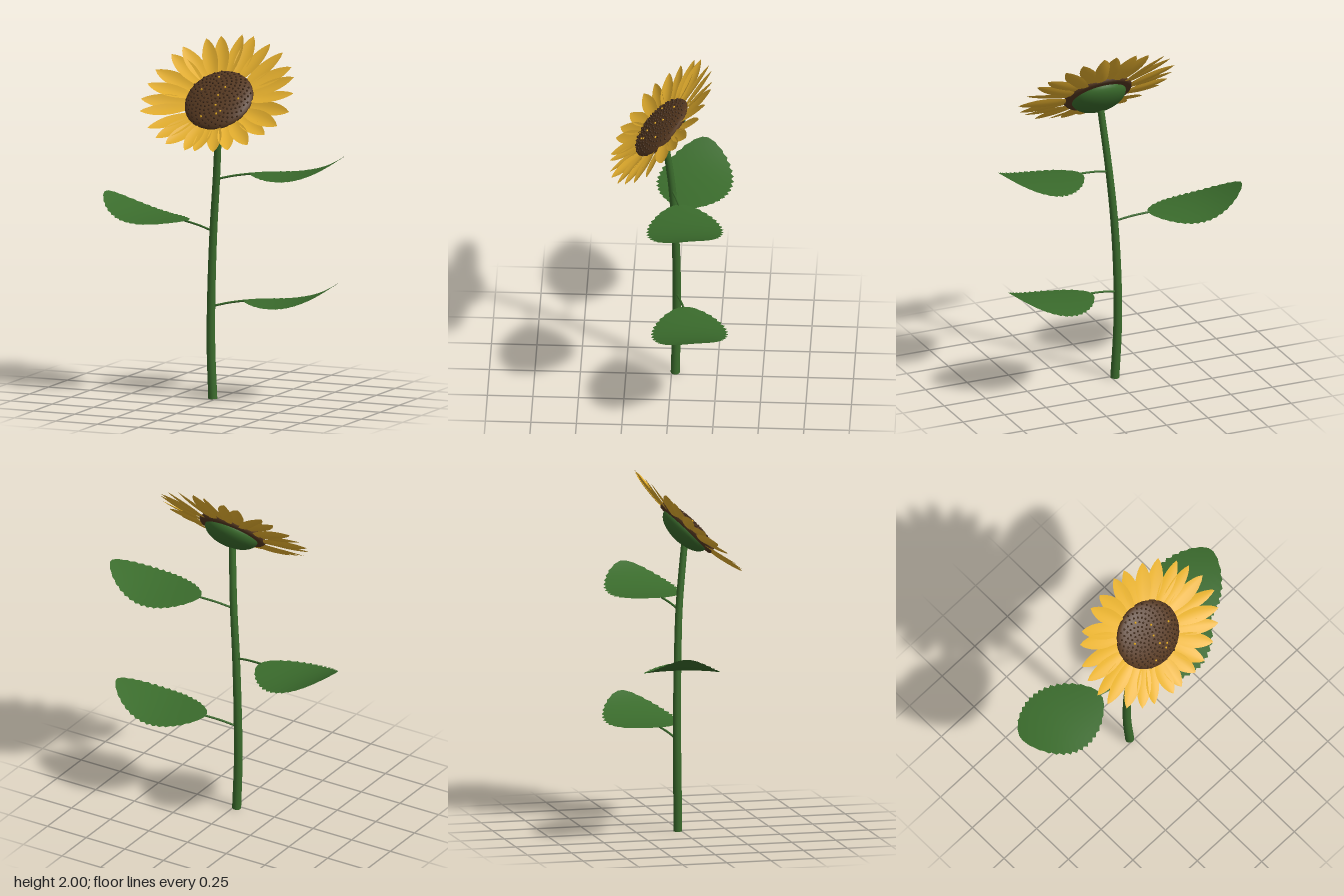
import * as THREE from 'three';
import { mergeGeometries } from 'three/addons/utils/BufferGeometryUtils.js';

const V = (x, y, z) => new THREE.Vector3(x, y, z);

// Small seeded generator for natural variation
function seeded(seed) {
  return () => (seed = (seed * 16807) % 2147483647) / 2147483647;
}

// Curved sheet: f(t, s) gives a point, t in 0..1 along, s in -1..1 across
function sheet(rows, cols, f) {
  const pos = [], idx = [];
  for (let i = 0; i <= rows; i++)
    for (let j = 0; j <= cols; j++) pos.push(...f(i / rows, (j / cols) * 2 - 1, i));
  for (let i = 0; i < rows; i++)
    for (let j = 0; j < cols; j++) {
      const a = i * (cols + 1) + j, b = a + cols + 1;
      idx.push(a, a + 1, b, a + 1, b + 1, b);
    }
  const g = new THREE.BufferGeometry();
  g.setAttribute('position', new THREE.Float32BufferAttribute(pos, 3));
  g.setIndex(idx);
  g.computeVertexNormals();
  return g;
}

export function createModel() {
  const rand = seeded(71);
  const mat = (name, color, side = THREE.FrontSide) => {
    const m = new THREE.MeshStandardMaterial({ color, side });
    m.name = name;
    return m;
  };
  const stemGreen = mat('stem green', 0x3a6b2c);
  const leafGreen = mat('leaf green', 0x3a6b2c, THREE.DoubleSide);
  const petalYellow = mat('petal yellow', 0xe6b02e, THREE.DoubleSide);
  const discBrown = mat('disc brown', 0x553820);
  const seedBrown = mat('seed brown', 0x3f2816);
  const pollenYellow = mat('pollen yellow', 0xe0a820);

  const root = new THREE.Group();
  root.name = 'sunflower';
  const add = (parent, name, geo, material) => {
    const m = new THREE.Mesh(geo, material);
    m.name = name;
    parent.add(m);
    return m;
  };

  // Stem, slightly bowed and tapering upwards
  const path = new THREE.CatmullRomCurve3([
    V(-0.018, 0, -0.02), V(-0.032, 0.3, -0.026), V(-0.03, 0.6, -0.028),
    V(-0.014, 0.94, -0.02), V(0.012, 1.25, -0.004), V(0.045, 1.61, 0.036),
  ]);
  const stem = new THREE.TubeGeometry(path, 40, 1, 12);
  const sp = stem.attributes.position, v = V(0, 0, 0);
  for (let i = 0; i < sp.count; i++) {
    const t = Math.floor(i / 13) / 40;
    const c = path.getPointAt(t);
    v.fromBufferAttribute(sp, i).sub(c).multiplyScalar(0.025 - 0.006 * t).add(c);
    sp.setXYZ(i, v.x, v.y, v.z);
  }
  add(root, 'stem', stem, stemGreen);
  const foot = add(root, 'stemFoot', new THREE.CircleGeometry(0.025, 12), stemGreen);
  foot.rotation.x = Math.PI / 2;
  foot.position.set(-0.018, 0.001, -0.02);

  // Toothed leaf along +x, arching up towards the tip
  const leafGeo = sheet(30, 8, (t, s, i) => {
    const u = 0.01 + 0.985 * t;
    const tooth = i % 2 ? 1.03 : 0.95;
    const w = 0.208 * Math.pow(Math.sin(Math.PI * u), 0.6) * (Math.abs(s) === 1 ? tooth : 1);
    const arch = 0.117 * Math.pow(t, 3) - 0.006 * Math.sin(Math.PI * t);
    return [0.528 * t, arch - 0.012 * s * s * Math.sin(Math.PI * t), w * s];
  });
  const leaves = [
    { name: 'upperLeaf', from: V(0.015, 1.228, -0.006), to: V(0.2, 1.265, -0.05), yaw: 0.17 },
    { name: 'middleLeaf', from: V(-0.02, 0.933, -0.022), to: V(-0.2, 0.971, -0.065), yaw: Math.PI - 0.17 },
    { name: 'lowerLeaf', from: V(-0.02, 0.515, -0.03), to: V(0.15, 0.551, -0.073), yaw: 0.17 },
  ];
  for (const { name, from, to, yaw } of leaves) {
    const g = new THREE.Group();
    g.name = name;
    root.add(g);
    const mid = from.clone().lerp(to, 0.5).add(V(0, 0.003, 0));
    const end = to.clone().add(to.clone().sub(from).multiplyScalar(0.05).setY(0));
    add(g, 'leafStalk', new THREE.TubeGeometry(
      new THREE.CatmullRomCurve3([from, mid, end]), 8, 0.006, 8), stemGreen);
    const blade = add(g, 'leafBlade', leafGeo, leafGreen);
    blade.position.copy(to);
    blade.rotation.y = yaw;
  }

  // Flower head, tilted to face up and forward; local +z is its facing
  const head = new THREE.Group();
  head.name = 'flowerHead';
  head.position.set(0.052, 1.675, 0.05);
  head.rotation.x = -Math.PI / 4;
  root.add(head);

  // Green cup behind the disc
  const cup = new THREE.SphereGeometry(0.155, 32, 10, 0, Math.PI * 2, 0, Math.PI / 2)
    .rotateX(-Math.PI / 2).scale(1, 1, 0.5).translate(0, 0, -0.012);
  add(head, 'calyx', cup, stemGreen);

  // Domed disc
  const R = 0.197, H = 0.05;
  const profile = [[0, -0.016], [R * 0.93, -0.016], [R, 0]].map(p => new THREE.Vector2(...p));
  for (let i = 1; i <= 8; i++) {
    const a = (i / 8) * Math.PI / 2;
    profile.push(new THREE.Vector2(R * Math.cos(a), H * Math.sin(a)));
  }
  add(head, 'disc', new THREE.LatheGeometry(profile, 40).rotateX(Math.PI / 2), discBrown);

  // Seeds in a golden-angle spiral, a few dusted with pollen
  const seeds = [], pollen = [];
  const count = 190;
  for (let i = 0; i < count; i++) {
    const r = 0.188 * Math.sqrt((i + 0.5) / count), a = i * 2.39996;
    const z = H * Math.sqrt(1 - (r / R) ** 2);
    const dusted = rand() < 0.11 && r < 0.15;
    seeds.length;
    (dusted ? pollen : seeds).push(
      new THREE.SphereGeometry(dusted ? 0.0065 : 0.0062, 7, 5)
        .translate(r * Math.cos(a), r * Math.sin(a), z + 0.001));
  }
  add(head, 'seeds', mergeGeometries(seeds), seedBrown);
  add(head, 'pollenSpecks', mergeGeometries(pollen), pollenYellow);

  // Ray petals: cupped, curling forward at the tip
  const petals = [], n = 26;
  for (let i = 0; i < n; i++) {
    const a = ((i + 0.5 + (rand() - 0.5) * 0.3) / n) * Math.PI * 2;
    const sy = Math.sin(a) > 0 ? 0.432 : 0.378;
    const reach = Math.hypot(0.455 * Math.cos(a), sy * Math.sin(a)) - rand() * 0.012;
    const base = 0.165, width = 0.041 + rand() * 0.005;
    const twist = (rand() - 0.5) * 0.5, lift = 0.028 + rand() * 0.008;
    const side = (rand() - 0.5) * 0.03;
    const g = sheet(12, 4, (t, s) => {
      const w = width * Math.pow(Math.sin(Math.PI * (0.1 + 0.9 * Math.pow(t, 1.15))), 0.75) + 0.0005;
      const x = w * s, cupZ = 0.009 * s * s * Math.sin(Math.PI * t);
      return [
        base + (reach - base) * t,
        x * Math.cos(twist) + side * t * t,
        x * Math.sin(twist) + cupZ + lift * t * t - (i % 2 ? 0.008 : 0) * (1 - t),
      ];
    });
    petals.push(g.rotateZ(a));
  }
  add(head, 'petals', mergeGeometries(petals), petalYellow);

  return root;
}
